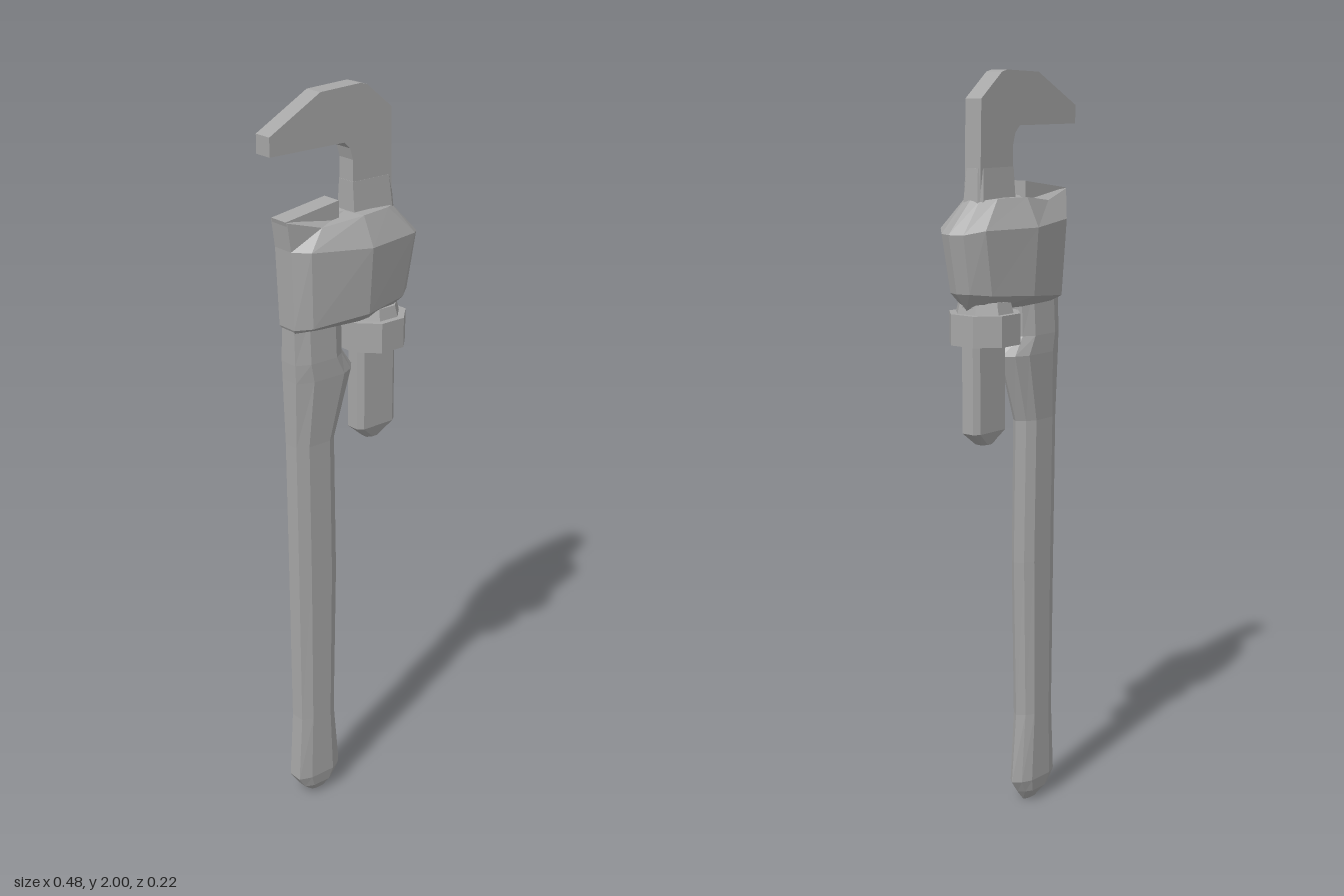
import * as THREE from 'three';

const steel = new THREE.MeshStandardMaterial({ color: 0xa6a6a6, flatShading: true });
steel.name = 'grey steel';

// Mirrors a half outline of [x, y, z >= 0], listed from +x to -x, into a full ring
function ring(half) {
  const back = half.map(([x, y, z]) => [x, y, -z]);
  const front = half.filter((p) => p[2] > 0).reverse();
  return [...back, ...front];
}

// Skins rings from bottom to top and closes both ends
function loft(rings) {
  const pos = [];
  const tri = (...p) => p.forEach((v) => pos.push(...v));
  const n = rings[0].length;
  const centre = (r) => [0, 1, 2].map((k) => r.reduce((s, p) => s + p[k], 0) / n);
  const low = rings[0], high = rings[rings.length - 1];
  const cLow = centre(low), cHigh = centre(high);
  for (let j = 0; j < n; j++) {
    const k = (j + 1) % n;
    for (let i = 0; i + 1 < rings.length; i++) {
      const a = rings[i], b = rings[i + 1];
      tri(a[j], a[k], b[k]);
      tri(a[j], b[k], b[j]);
    }
    tri(cLow, low[k], low[j]);
    tri(cHigh, high[j], high[k]);
  }
  const g = new THREE.BufferGeometry();
  g.setAttribute('position', new THREE.Float32BufferAttribute(pos, 3));
  g.computeVertexNormals();
  return g;
}

// Flat plate cut from an x/y outline, centred on z = 0
function plate(points, depth) {
  const shape = new THREE.Shape(points.map(([x, y]) => new THREE.Vector2(x, y)));
  const g = new THREE.ExtrudeGeometry(shape, { depth, bevelEnabled: false });
  return g.translate(0, 0, -depth / 2);
}

export function createModel() {
  const group = new THREE.Group();
  group.name = 'pipeWrench';
  const add = (name, geometry) => {
    const mesh = new THREE.Mesh(geometry, steel);
    mesh.name = name;
    group.add(mesh);
    return mesh;
  };

  // Handle: y, left x, right x, half depth
  const handle = [
    [0.0, -0.11, -0.06, 0.008],
    [0.03, -0.145, -0.035, 0.028],
    [0.065, -0.168, -0.01, 0.034],
    [0.26, -0.157, -0.028, 0.035],
    [0.7, -0.162, -0.018, 0.036],
    [1.09, -0.167, -0.025, 0.037],
    [1.27, -0.17, 0.035, 0.046],
    [1.32, -0.172, 0.0, 0.046],
    [1.44, -0.172, 0.0, 0.04],
  ];
  add('handle', loft(handle.map(([y, l, r, d]) => {
    const w = r - l;
    return ring([[r, y, 0], [r - w * 0.12, y, d * 0.6], [r - w * 0.3, y, d],
      [l + w * 0.22, y, d], [l, y, d * 0.6]]);
  })));

  // Housing: bulging collar that holds both jaws
  add('housing', loft([
    ring([[0.17, 1.405, 0], [0.15, 1.405, 0.025], [0.11, 1.405, 0.04],
      [0.015, 1.405, 0.055], [-0.12, 1.405, 0.04], [-0.17, 1.405, 0.025]]),
    ring([[0.208, 1.45, 0], [0.195, 1.45, 0.032], [0.15, 1.445, 0.068],
      [0.015, 1.435, 0.095], [-0.14, 1.42, 0.062], [-0.175, 1.415, 0.03]]),
    ring([[0.237, 1.6, 0], [0.222, 1.6, 0.036], [0.182, 1.61, 0.075],
      [0.015, 1.61, 0.108], [-0.15, 1.62, 0.07], [-0.184, 1.62, 0.032]]),
    ring([[0.155, 1.68, 0], [0.147, 1.68, 0.025], [0.11, 1.685, 0.053],
      [0.015, 1.685, 0.071], [-0.1, 1.67, 0.048], [-0.195, 1.695, 0.032]]),
  ]));

  // Fixed lower jaw
  add('heelJaw', plate([[-0.197, 1.697], [-0.18, 1.64], [-0.03, 1.64], [-0.03, 1.722]], 0.056));

  // Movable hook jaw, with a thicker root where it leaves the housing
  add('hookJaw', plate([
    [-0.24, 1.862], [-0.01, 1.862], [0.008, 1.845], [0.017, 1.815], [0.017, 1.62],
    [0.147, 1.62], [0.14, 1.93], [0.06, 1.995], [0.04, 2.0], [-0.085, 1.995], [-0.24, 1.91],
  ], 0.052));
  add('hookJawRoot', loft([[1.62, 0.158, 0.038], [1.76, 0.146, 0.0265]].map(([y, r, d]) =>
    ring([[r, y, d * 0.7], [r - 0.012, y, d], [0.016, y, d]]))));

  // Jaw shank below the housing, with a chamfered tip
  add('shank', loft([
    [1.05, 0.08, 0.125, 0.018], [1.085, 0.04, 0.168, 0.03], [1.43, 0.04, 0.168, 0.03],
  ].map(([y, l, r, d]) =>
    ring([[r, y, d * 0.6], [r - 0.015, y, d], [l + 0.015, y, d], [l, y, d * 0.6]]))));

  // Adjusting nut and its neck
  const nut = add('adjustingNut', new THREE.CylinderGeometry(0.096, 0.096, 0.08, 8)
    .rotateY(Math.PI / 8));
  nut.position.set(0.1, 1.355, 0);
  const neck = add('nutNeck', new THREE.CylinderGeometry(0.07, 0.08, 0.04, 8)
    .rotateY(Math.PI / 8));
  neck.position.set(0.1, 1.405, 0);

  return group;
}
